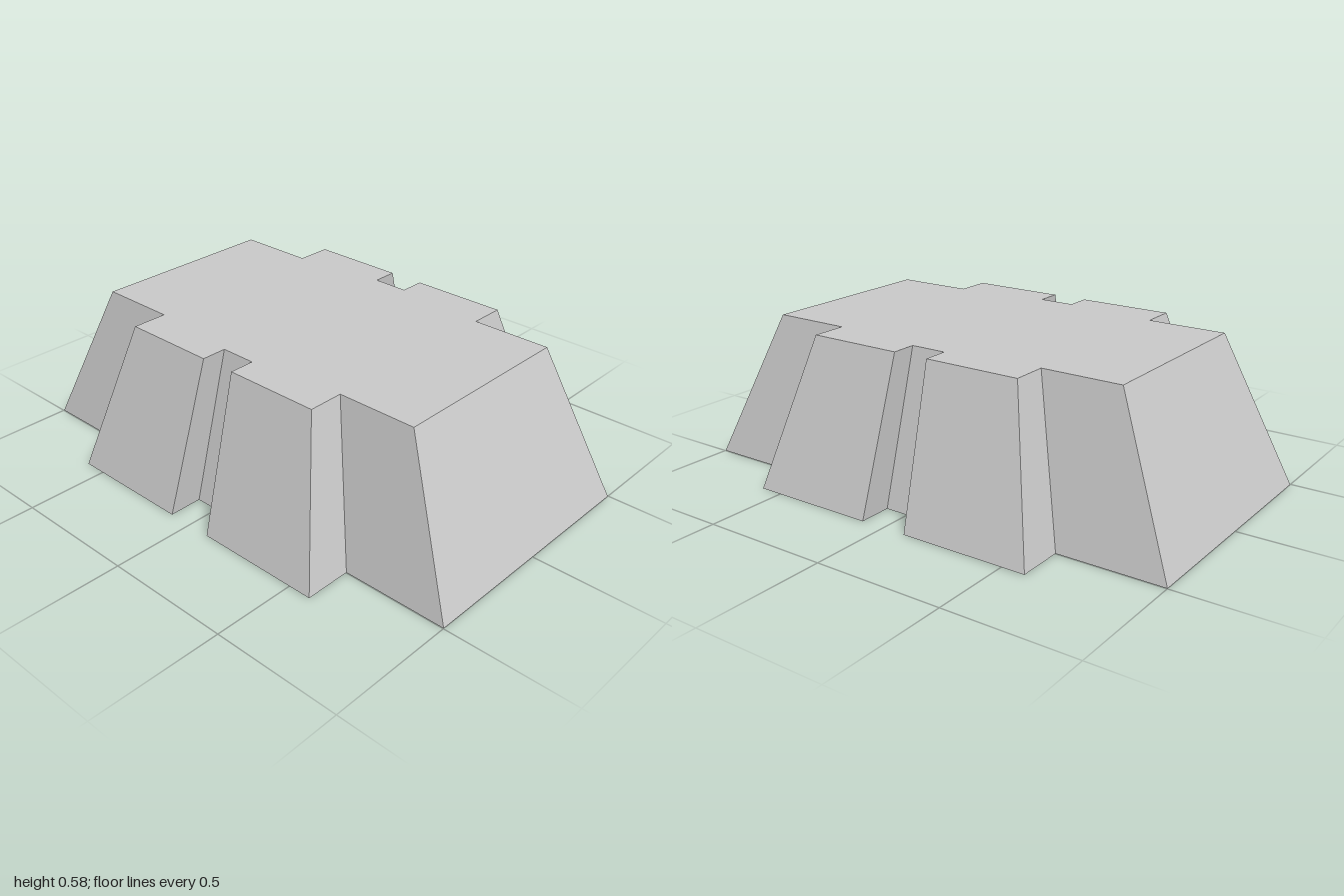
import * as THREE from 'three';

const HEIGHT = 0.58;
const TOP_SCALE = 0.75;

// Quarter of the footprint, from the side notch round to the end wall
const QUARTER = [[0.55, 0.093], [0.68, 0.093], [0.68, 0.59], [0.498, 0.59], [0.498, 1]];

// Mirrors the quarter into the full counter-clockwise outline
function footprint() {
  const mirrored = (sx, sy) => QUARTER.map(([x, y]) => new THREE.Vector2(x * sx, y * sy));
  return new THREE.Shape([
    ...mirrored(1, 1),
    ...mirrored(-1, 1).reverse(),
    ...mirrored(-1, -1),
    ...mirrored(1, -1).reverse(),
  ]);
}

export function createModel() {
  const group = new THREE.Group();
  group.name = 'taperedBlock';

  // Solid prism on the footprint, standing upright
  const geometry = new THREE.ExtrudeGeometry(footprint(), { depth: HEIGHT, bevelEnabled: false });
  geometry.rotateX(-Math.PI / 2);

  // Shrink each level towards the axis so every wall slopes inwards
  const pos = geometry.attributes.position;
  for (let i = 0; i < pos.count; i++) {
    const s = 1 + (TOP_SCALE - 1) * (pos.getY(i) / HEIGHT);
    pos.setX(i, pos.getX(i) * s);
    pos.setZ(i, pos.getZ(i) * s);
  }
  geometry.computeVertexNormals();

  const body = new THREE.Mesh(
    geometry,
    new THREE.MeshStandardMaterial({ color: 0xcccccc, flatShading: true })
  );
  body.name = 'notchedBody';
  group.add(body);
  return group;
}
